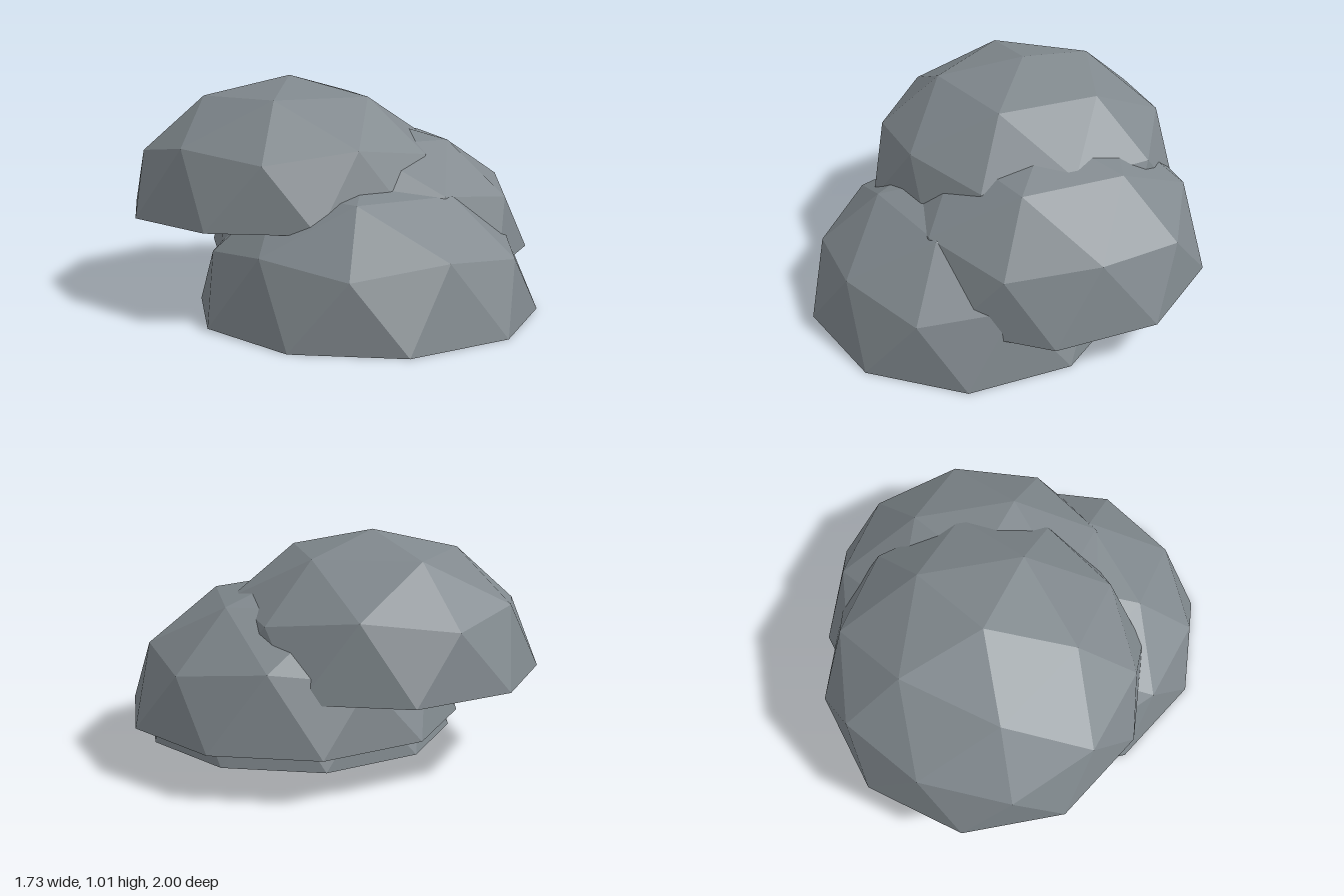
import * as THREE from 'three';

const RADIUS = 0.76;
const HEIGHT = 0.61;

// Upper half of a once-subdivided icosahedron, pole up, closed with a flat base
function domeGeometry() {
  const point = (radius, height, degrees) => {
    const a = THREE.MathUtils.degToRad(degrees);
    return [RADIUS * radius * Math.cos(a), HEIGHT * height, -RADIUS * radius * Math.sin(a)];
  };
  const pole = [0, HEIGHT, 0];
  const centre = [0, 0, 0];
  const positions = [];
  const face = (a, b, c) => positions.push(...a, ...b, ...c);

  for (let k = 0; k < 5; k++) {
    const az = 72 * k;
    const top = point(0.526, 0.851, az), topNext = point(0.526, 0.851, az + 72);
    const corner = point(0.894, 0.447, az), cornerNext = point(0.894, 0.447, az + 72);
    const mid = point(0.851, 0.526, az + 36);
    const rimA = point(1, 0, az - 18), rimB = point(1, 0, az + 18), rimC = point(1, 0, az + 54);
    // Cap
    face(pole, top, topNext);
    face(top, mid, topNext);
    // Shoulder
    face(top, corner, mid);
    face(topNext, mid, cornerNext);
    // Skirt
    face(corner, rimA, rimB);
    face(corner, rimB, mid);
    face(mid, rimB, rimC);
    face(mid, rimC, cornerNext);
    // Flat base
    face(centre, rimB, rimA);
    face(centre, rimC, rimB);
  }
  const geometry = new THREE.BufferGeometry();
  geometry.setAttribute('position', new THREE.Float32BufferAttribute(positions, 3));
  geometry.computeVertexNormals();
  return geometry;
}

export function createModel() {
  const group = new THREE.Group();
  group.name = 'rockPile';
  const stone = new THREE.MeshStandardMaterial({ color: 0x80888d });
  stone.name = 'stone grey';
  stone.flatShading = true;

  // Three equal boulders, stepping up towards the back
  const geometry = domeGeometry();
  const boulders = [
    ['lowerBoulder', -0.14, 0, 0.24],
    ['middleBoulder', 0.14, 0.2, 0],
    ['upperBoulder', -0.14, 0.4, -0.24],
  ];
  for (const [name, x, y, z] of boulders) {
    const boulder = new THREE.Mesh(geometry, stone);
    boulder.name = name;
    boulder.position.set(x, y, z);
    group.add(boulder);
  }
  return group;
}
